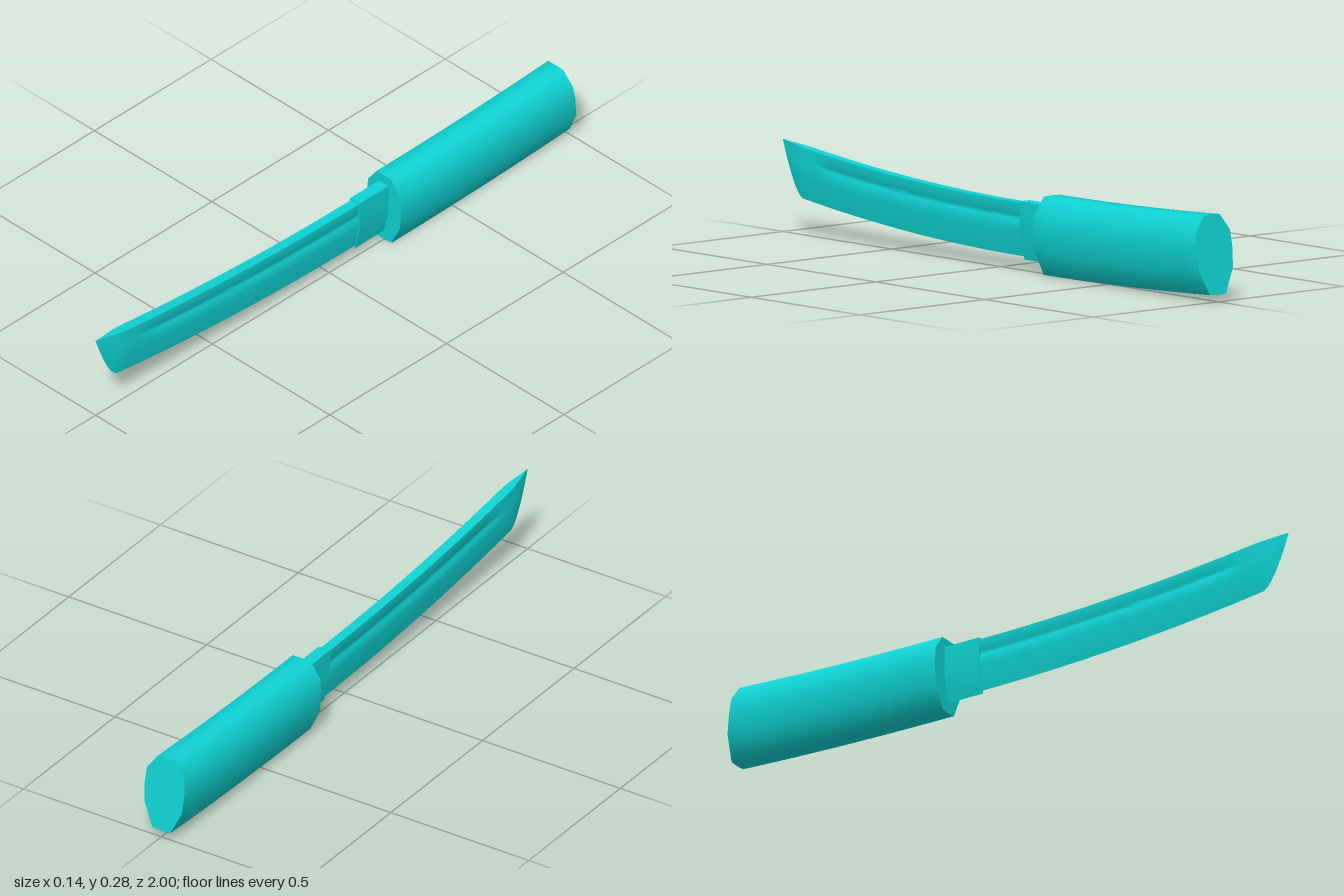
import * as THREE from 'three';
import { toCreasedNormals } from 'three/addons/utils/BufferGeometryUtils.js';

// Mirror a right-hand outline (bottom to top) into a full counter-clockwise ring.
function ring(half) {
  const left = half.filter(p => p[0] > 0).reverse().map(([x, y, z]) => [-x, y, z]);
  return [...half, ...left];
}

// Skin a row of rings that run from back (-z) to front (+z), with both ends capped.
function loft(rings, crease) {
  const n = rings[0].length;
  const pos = [], idx = [];
  rings.forEach(r => r.forEach(p => pos.push(...p)));
  for (let i = 0; i < rings.length - 1; i++) {
    for (let j = 0; j < n; j++) {
      const k = (j + 1) % n;
      const a = i * n + j, b = i * n + k, c = b + n, d = a + n;
      idx.push(a, b, c, a, c, d);
    }
  }
  for (const [i, front] of [[0, false], [rings.length - 1, true]]) {
    const centre = pos.length / 3;
    pos.push(...[0, 1, 2].map(k => rings[i].reduce((s, p) => s + p[k], 0) / n));
    for (let j = 0; j < n; j++) {
      const a = i * n + j, b = i * n + (j + 1) % n;
      idx.push(centre, front ? a : b, front ? b : a);
    }
  }
  const geo = new THREE.BufferGeometry();
  geo.setAttribute('position', new THREE.Float32BufferAttribute(pos, 3));
  geo.setIndex(idx);
  return toCreasedNormals(geo, crease);
}

export function createModel() {
  const group = new THREE.Group();
  const material = new THREE.MeshStandardMaterial({ color: 0x0fd2d2 });
  const add = (name, geo) => {
    const mesh = new THREE.Mesh(geo, material);
    mesh.name = name;
    group.add(mesh);
  };

  // Handle: faceted oval, rising slightly to a slanted butt
  const grip = [[0, 0.002], [0.032, 0.005], [0.068, 0.08], [0.072, 0.145],
    [0.068, 0.195], [0.032, 0.244], [0, 0.245]];
  const handle = [];
  for (let i = 0; i <= 12; i++) {
    const t = 1 - i / 12;
    handle.push(ring(grip.map(([x, y]) =>
      [x, y + 0.02 * t * t, -0.235 - t * (0.765 - 0.03 * y / 0.245)])));
  }
  add('handle', loft(handle, 1.12));

  // Collar between handle and blade
  const collar = [[0, 0.035], [0.02, 0.12], [0.02, 0.215]];
  add('collar', loft([-0.26, -0.11].map(z => ring(collar.map(([x, y]) => [x, y, z]))), 0.5));

  // Blade: curved, flat spine, bevelled edge, with a shallow groove on each side
  const spineY = z => 0.21 + 0.075 * ((z + 0.11) / 1.11) ** 2;
  const edgeY = z => 0.045 + 0.068 * ((z + 0.11) / 1.02) ** 2
    + (z > 0.91 ? 0.157 * ((z - 0.91) / 0.09) ** 1.6 : 0);
  const stations = [-0.14];
  for (let i = 0; i <= 18; i++) stations.push(-0.1 + i * 0.05);
  stations.push(0.83, 0.87, 0.91, 0.925, 0.94, 0.955, 0.97, 0.985, 0.9995);
  const blade = stations.map(z => {
    const top = spineY(z), bottom = Math.min(edgeY(z), top - 0.001), h = top - bottom;
    const w = 0.016 * Math.min(1, Math.max(0.01, (1 - z) / 0.1));
    const depth = 0.004 * THREE.MathUtils.clamp((0.83 - z) / 0.06, 0, 1);
    return ring([
      [0, bottom], [w, bottom + 0.48 * h], [w, bottom + 0.66 * h],
      [w - depth, bottom + 0.7 * h], [w - depth, bottom + 0.76 * h],
      [w, bottom + 0.8 * h], [w, top],
    ].map(([x, y]) => [x, y, z]));
  });
  add('blade', loft(blade, 0.7));

  return group;
}
